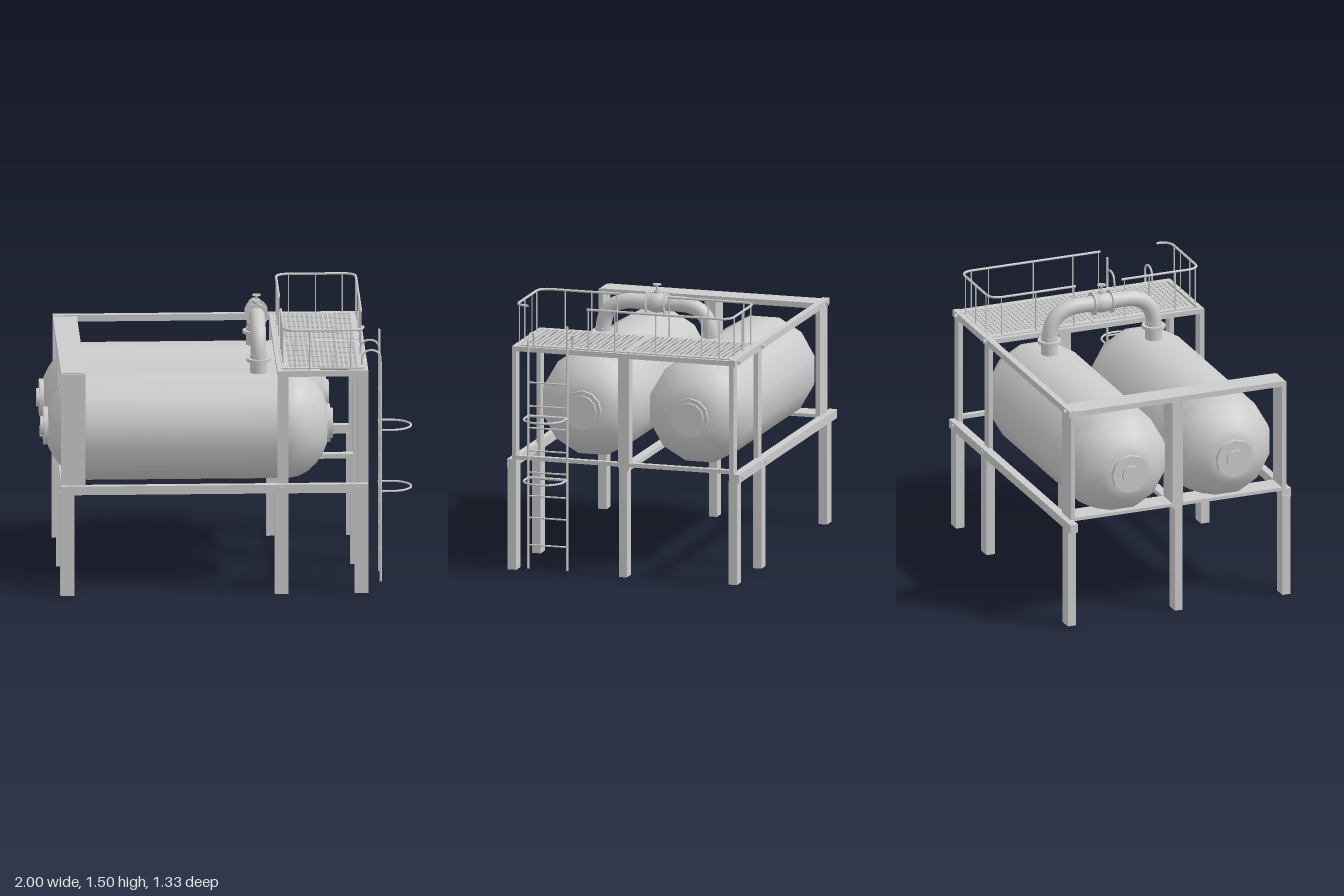
import * as THREE from 'three';

const grey = new THREE.MeshStandardMaterial({ color: 0xcccccc, side: THREE.DoubleSide });
const V = (x, y, z) => new THREE.Vector3(x, y, z);

export function createModel() {
  const model = new THREE.Group();
  model.name = 'twinTankSkid';

  const add = (name, geometry, parent = model) => {
    const mesh = new THREE.Mesh(geometry, grey);
    mesh.name = name;
    parent.add(mesh);
    return mesh;
  };
  const group = (name) => {
    const g = new THREE.Group();
    g.name = name;
    model.add(g);
    return g;
  };
  // Box given by its limits on each axis
  const box = (name, x0, x1, y0, y1, z0, z1, parent) => {
    const m = add(name, new THREE.BoxGeometry(x1 - x0, y1 - y0, z1 - z0), parent);
    m.position.set((x0 + x1) / 2, (y0 + y1) / 2, (z0 + z1) / 2);
    return m;
  };
  // Round bar between two points, with optional different end radius
  const rod = (name, a, b, r, parent, sides = 8) => {
    const m = add(name, new THREE.CylinderGeometry(r, r, a.distanceTo(b), sides), parent);
    m.position.copy(a).lerp(b, 0.5);
    m.quaternion.setFromUnitVectors(V(0, 1, 0), b.clone().sub(a).normalize());
    return m;
  };
  // Bent bar: straight runs joined by rounded corners
  const bent = (name, pts, bend, r, parent, sides = 8) => {
    const path = new THREE.CurvePath();
    let last = pts[0];
    for (let i = 1; i < pts.length - 1; i++) {
      const p = pts[i];
      const a = p.clone().add(pts[i - 1].clone().sub(p).setLength(bend));
      const b = p.clone().add(pts[i + 1].clone().sub(p).setLength(bend));
      if (last.distanceTo(a) > 1e-4) path.add(new THREE.LineCurve3(last, a));
      path.add(new THREE.QuadraticBezierCurve3(a, p.clone().lerp(a.clone().lerp(b, 0.5), 0.12), b));
      last = b;
    }
    path.add(new THREE.LineCurve3(last, pts[pts.length - 1]));
    return add(name, new THREE.TubeGeometry(path, 64, r, sides, false), parent);
  };

  // Tanks: twelve-sided shells with domed ends and end hatches
  const MID = -0.01, TY = 0.857, R = 0.295;
  const profile = [
    [0, -0.965], [0.11, -0.96], [0.16, -0.935], [0.21, -0.9], [0.25, -0.86], [0.28, -0.81], [R, -0.75],
    [R, 0.33], [0.285, 0.385], [0.26, 0.435], [0.215, 0.485], [0.165, 0.52], [0.11, 0.542], [0, 0.545],
  ].map(([r, x]) => new THREE.Vector2(r, x));
  for (const s of [-1, 1]) {
    const tank = group(s > 0 ? 'frontTank' : 'backTank');
    const z = MID + s * 0.303;
    const shell = add('tankShell', new THREE.LatheGeometry(profile, 12, Math.PI / 12), tank);
    shell.rotation.z = -Math.PI / 2;
    shell.position.set(0, TY, z);
    for (const [x0, x1, r] of [[-0.985, -0.95, 0.105], [-1, -0.98, 0.052], [0.53, 0.56, 0.108], [0.555, 0.575, 0.085]])
      rod('endHatch', V(x0, TY, z), V(x1, TY, z), r, tank, 12);
    rod('topNozzle', V(0.175, 1.12, z), V(0.175, 1.24, z), 0.045, tank, 16);
    rod('nozzleFlange', V(0.175, 1.205, z), V(0.175, 1.222, z), 0.064, tank, 20);
  }

  // Legs and upper columns
  const frame = group('frame');
  for (const s of [-1, 1]) {
    for (const [x0, x1] of [[-0.905, -0.83], [0.25, 0.325], [0.68, 0.755]])
      box('leg', x0, x1, 0, 0.57, s > 0 ? 0.6 : -0.648, s > 0 ? 0.648 : -0.6, frame);
    for (const [x0, x1] of [[-0.9, -0.77], [0.265, 0.325], [0.695, 0.755]])
      box('column', x0, x1, 0.56, 1.225, s > 0 ? 0.6 : -0.628, s > 0 ? 0.625 : -0.603, frame);
  }
  box('centreLeg', -0.905, -0.83, 0, 0.6, -0.025, 0.02, frame);
  box('centreLeg', 0.68, 0.755, 0, 0.6, -0.025, 0.02, frame);
  box('centreColumn', -0.9, -0.77, 0.6, 1.225, -0.037, 0.025, frame);
  box('centreColumn', 0.695, 0.755, 0.6, 1.225, -0.037, 0.025, frame);

  // Beams at mid height
  box('lowerSideBeam', -0.9, 0.755, 0.56, 0.608, 0.615, 0.653, frame);
  box('lowerSideBeam', -0.97, 0.755, 0.56, 0.608, -0.66, -0.615, frame);
  box('lowerCentreBeam', -0.9, 0.755, 0.585, 0.61, -0.035, 0.015, frame);
  box('lowerEndBeam', -0.9, -0.77, 0.6, 0.618, -0.62, 0.62, frame);
  box('lowerEndBeam', 0.725, 0.755, 0.608, 0.63, -0.62, 0.62, frame);

  // Beams at the top
  box('upperSideBeam', -0.9, 0.755, 1.2, 1.236, -0.638, -0.603, frame);
  box('platformSideBeam', 0.265, 0.755, 1.2, 1.232, 0.6, 0.625, frame);
  box('upperEndBeam', -0.9, -0.77, 1.2, 1.23, -0.62, 0.615, frame);
  box('upperEndBeam', 0.725, 0.755, 1.205, 1.232, -0.62, 0.615, frame);
  box('platformInnerBeam', 0.265, 0.295, 1.205, 1.232, -0.62, 0.615, frame);

  // Bolts on the side beams
  for (const x of [0.285, 0.7]) {
    for (const s of [-1, 1]) rod('bolt', V(x, 0.585, s * 0.64), V(x, 0.585, s * 0.665), 0.013, frame);
    rod('bolt', V(x, 1.218, -0.63), V(x, 1.218, -0.65), 0.013, frame);
  }
  rod('bolt', V(-0.85, 1.218, -0.63), V(-0.85, 1.218, -0.65), 0.013, frame);

  // Perforated platform in two panels
  const platform = group('platform');
  for (const [z0, z1] of [[-0.605, -0.015], [-0.01, 0.58]]) {
    const rect = (Path, x0, x1, a, b) => {
      const p = new Path();
      p.moveTo(x0, a).lineTo(x1, a).lineTo(x1, b).lineTo(x0, b).closePath();
      return p;
    };
    const panel = rect(THREE.Shape, 0.29, 0.735, z0, z1);
    for (let i = 0; i < 15; i++)
      for (let j = 0; j < 21; j++) {
        const x = 0.33 + i * 0.0252, z = z0 + 0.02 + j * 0.0268;
        panel.holes.push(rect(THREE.Path, x, x + 0.017, z, z + 0.0165));
      }
    const mesh = add('gratingPanel', new THREE.ExtrudeGeometry(panel, { depth: 0.008, bevelEnabled: false }), platform);
    mesh.rotation.x = Math.PI / 2;
    mesh.position.y = 1.238;
  }

  // Handrails with gaps at the valve and the ladder
  const rails = group('handrails');
  const H = 1.455, x0 = 0.3, x1 = 0.73, zb = -0.602, zf = 0.612;
  bent('backHandrail', [V(x0, H, -0.11), V(x0, H, zb), V(x1, H, zb), V(x1, H, 0.21)], 0.06, 0.007, rails);
  bent('frontHandrail', [V(x0, H, 0.16), V(x0, H, zf), V(x1, H, zf), V(x1, H, 0.54)], 0.06, 0.007, rails);
  const posts = [
    [x0, -0.12], [x0, -0.34], [x0, -0.54], [0.37, zb], [0.515, zb], [0.66, zb], [x1, -0.54], [x1, -0.44],
    [x1, -0.18], [x1, 0.05], [x1, 0.2], [x0, 0.175], [x0, 0.32], [x0, 0.47], [0.36, zf], [0.44, zf], [0.57, zf], [0.66, zf],
  ];
  for (const [x, z] of posts) rod('railPost', V(x, 1.22, z), V(x, H, z), 0.004, rails, 6);

  // Ladder with hooked tops and two safety hoops
  const ladder = group('ladder');
  const LX = 0.825, lz = [0.29, 0.51];
  for (const z of lz) {
    rod('stile', V(LX, 0.03, z), V(LX, z < 0.4 ? 1.375 : 1.25, z), 0.007, ladder);
    bent('stileHook', [V(LX, 1.2, z), V(LX, 1.315, z), V(0.725, 1.315, z), V(0.725, 1.225, z)], 0.048, 0.006, ladder);
  }
  for (const y of [0.16, 0.31, 0.43, 0.56, 0.68, 0.805, 0.925, 1.055])
    rod('rung', V(LX, y, lz[0]), V(LX, y, lz[1]), 0.005, ladder);
  const hoop = new THREE.CurvePath();
  const arc = Array.from({ length: 17 }, (_, i) => {
    const a = -Math.PI / 2 + (i * Math.PI) / 16;
    return V(0.885 + 0.108 * Math.cos(a), 0, 0.4 + 0.11 * Math.sin(a));
  });
  hoop.add(new THREE.LineCurve3(V(LX, 0, 0.29), arc[0]));
  hoop.add(new THREE.CatmullRomCurve3(arc));
  hoop.add(new THREE.LineCurve3(arc[16], V(LX, 0, 0.51)));
  for (const y of [0.53, 0.87]) {
    const m = add('safetyHoop', new THREE.TubeGeometry(hoop, 48, 0.006, 8), ladder);
    m.position.y = y;
    rod('hoopBar', V(LX, y, 0.29), V(LX, y, 0.51), 0.008, ladder);
  }

  // Cross-over pipe joining the tanks, with a valve in the middle
  const pipe = group('crossoverPipe');
  const PX = 0.175, PY = 1.393;
  bent('pipe', [V(PX, 1.215, MID - 0.303), V(PX, PY, MID - 0.303), V(PX, PY, MID + 0.303), V(PX, 1.215, MID + 0.303)], 0.155, 0.042, pipe, 20);
  const bulge = [[0.042, -0.065], [0.045, -0.04], [0.053, -0.022], [0.056, 0], [0.053, 0.022], [0.045, 0.04], [0.042, 0.065]];
  const valve = add('valveBody', new THREE.LatheGeometry(bulge.map(([r, y]) => new THREE.Vector2(r, y)), 20), pipe);
  valve.rotation.x = Math.PI / 2;
  valve.position.set(PX, PY, MID);
  for (const s of [-1, 1])
    rod('valveFlange', V(PX, PY, MID + s * 0.047), V(PX, PY, MID + s * 0.055), 0.063, pipe, 20);
  rod('valveBonnet', V(PX, PY, MID), V(PX, 1.462, MID), 0.018, pipe, 12);
  rod('valveStem', V(PX, 1.45, MID), V(PX, 1.497, MID), 0.005, pipe);
  const wheel = add('handwheel', new THREE.TorusGeometry(0.02, 0.004, 6, 20), pipe);
  wheel.rotation.x = Math.PI / 2;
  wheel.position.set(PX, 1.493, MID);
  rod('wheelSpoke', V(PX - 0.02, 1.493, MID), V(PX + 0.02, 1.493, MID), 0.003, pipe, 6);
  rod('wheelSpoke', V(PX, 1.493, MID - 0.02), V(PX, 1.493, MID + 0.02), 0.003, pipe, 6);

  return model;
}
